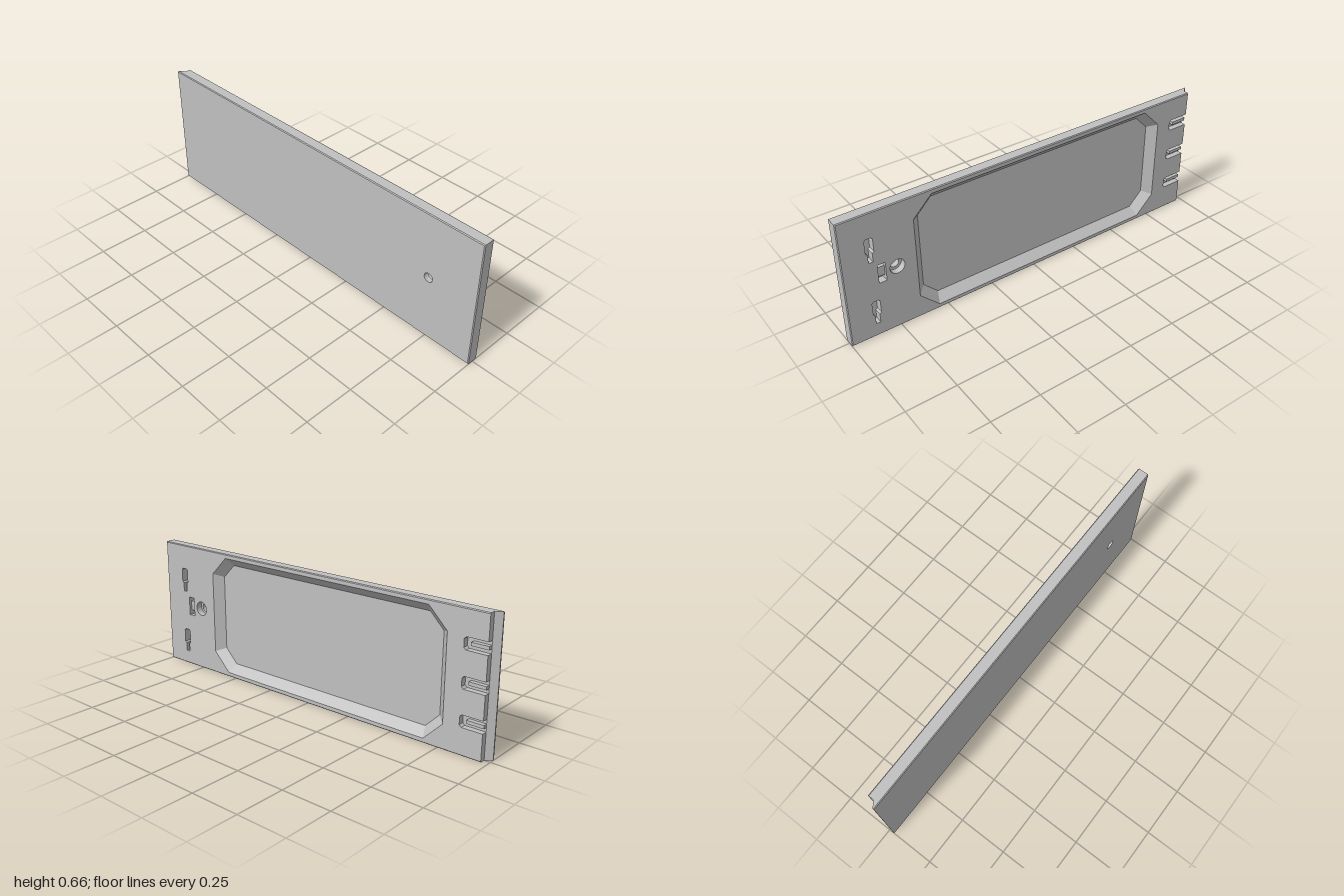
import * as THREE from 'three';

const H = 0.66, BACK = -0.029, FRONT = 0.029;
const SLOT_Y = [0.508, 0.334, 0.16], SLOT_END = -0.856, EDGE = -0.97;

const pts = (a) => a.map(([x, y]) => new THREE.Vector2(x, y));

// Counter-clockwise loops
const rect = (x0, x1, y0, y1) => pts([[x0, y0], [x1, y0], [x1, y1], [x0, y1]]);
const octagon = (x0, x1, y0, y1, c) => pts([
  [x0 + c, y0], [x1 - c, y0], [x1, y0 + c], [x1, y1 - c],
  [x1 - c, y1], [x0 + c, y1], [x0, y1 - c], [x0, y0 + c]]);
const circle = (x, y, r, n = 32) => pts(Array.from({ length: n }, (_, i) => {
  const a = (i / n) * Math.PI * 2;
  return [x + r * Math.cos(a), y + r * Math.sin(a)];
}));
const keyhole = (x, y) => pts([
  [x - 0.011, y], [x + 0.011, y], [x + 0.011, y + 0.045], [x + 0.02, y + 0.052],
  [x + 0.02, y + 0.118], [x + 0.013, y + 0.125], [x - 0.013, y + 0.125],
  [x - 0.02, y + 0.118], [x - 0.02, y + 0.052], [x - 0.011, y + 0.045]]);
const slotLoop = (y, h = 0.029, r = 0.01) => pts([
  [EDGE, y - h], [SLOT_END - r, y - h], [SLOT_END, y - h + r],
  [SLOT_END, y + h - r], [SLOT_END - r, y + h], [EDGE, y + h]]);

// Panel outline with the slots notched into its right-hand end
const notched = (c) => [...rect(EDGE, 1 - c, c, H - c),
  ...SLOT_Y.flatMap((y) => slotLoop(y).reverse())];
const plain = (c, xEnd) => rect(xEnd, 1 - c, c, H - c);

// Strip between two matching loops, facing outward for counter-clockwise loops
function wall(a, za, b, zb) {
  const p = [];
  a.forEach((_, i) => {
    const j = (i + 1) % a.length;
    const q = [[a[i], za], [a[j], za], [b[j], zb], [b[i], zb]];
    for (const k of [0, 1, 2, 0, 2, 3]) p.push(q[k][0].x, q[k][0].y, q[k][1]);
  });
  const g = new THREE.BufferGeometry();
  g.setAttribute('position', new THREE.Float32BufferAttribute(p, 3));
  g.computeVertexNormals();
  return g;
}

// Strip facing into a recess
const innerWall = (a, za, b, zb) => wall([...a].reverse(), za, [...b].reverse(), zb);

// Flat face at depth z, turned to the front or the back
function cap(loop, holes, z, toFront) {
  const shape = new THREE.Shape(loop);
  shape.holes = holes.map((h) => new THREE.Path(h));
  const g = new THREE.ShapeGeometry(shape);
  if (!toFront) {
    g.index.array.reverse();
    g.computeVertexNormals();
  }
  return g.translate(0, 0, z);
}

export function createModel() {
  const model = new THREE.Group();
  const grey = new THREE.MeshStandardMaterial({ color: 0xc0c0c0 });
  grey.name = 'light grey';

  const part = (name, ...geometries) => {
    const group = new THREE.Group();
    group.name = name;
    for (const g of geometries) {
      const mesh = new THREE.Mesh(g, grey);
      mesh.name = name;
      group.add(mesh);
    }
    model.add(group);
  };
  const block = (w, h, d, x, y, z) => new THREE.BoxGeometry(w, h, d).translate(x, y, z);

  // Recess outlines
  const pocket = octagon(-0.774, 0.645, 0.022, 0.638, 0.097);
  const t = 0.042;
  const pocketFloor = octagon(-0.774 + t, 0.645 - t, 0.022 + t, 0.638 - t, 0.097 - 0.586 * t);
  const bore = circle(0.742, 0.334, 0.037);
  const hole = circle(0.742, 0.334, 0.023);
  const latch = rect(0.798, 0.836, 0.283, 0.381);
  const keyholes = [0.408, 0.07].map((y) => keyhole(0.863, y));

  // Faces
  const c = 0.004;
  part('frontFace', cap(plain(c, -1), [hole], FRONT, true));
  part('backFace', cap(notched(c), [pocket, bore, latch, ...keyholes], BACK, false));

  // Bevelled rim, with the undercut lip along the right-hand end
  part('rim',
    wall(notched(c), BACK, notched(0), BACK + c),
    wall(notched(0), BACK + c, notched(0), 0),
    wall(plain(0, EDGE), 0, plain(0, -1), 0.023),
    wall(plain(0, -1), 0.023, plain(0, -1), FRONT - c),
    wall(plain(0, -1), FRONT - c, plain(c, -1), FRONT));

  // Large sloping pocket
  part('pocket', innerWall(pocket, BACK, pocketFloor, BACK + t),
    cap(pocketFloor, [], BACK + t, false));

  // Through hole with counterbore
  part('screwHole', innerWall(bore, BACK, bore, 0.003), cap(bore, [hole], 0.003, false),
    innerWall(hole, 0.003, hole, FRONT));

  // Hanging keyholes
  for (const k of keyholes) {
    part('keyhole', innerWall(k, BACK, k, 0.01), cap(k, [], 0.01, false));
  }

  // Latch recess with a raised middle
  part('latchRecess', innerWall(latch, BACK, latch, 0.01), cap(latch, [], 0.01, false),
    block(0.038, 0.05, 0.025, 0.817, 0.332, -0.0025));

  // End slots, each with a central rib
  for (const y of SLOT_Y) {
    part('endSlot', cap(slotLoop(y), [], 0, false),
      block(0.085, 0.016, 0.022, EDGE + 0.0425, y, -0.011));
  }
  return model;
}
